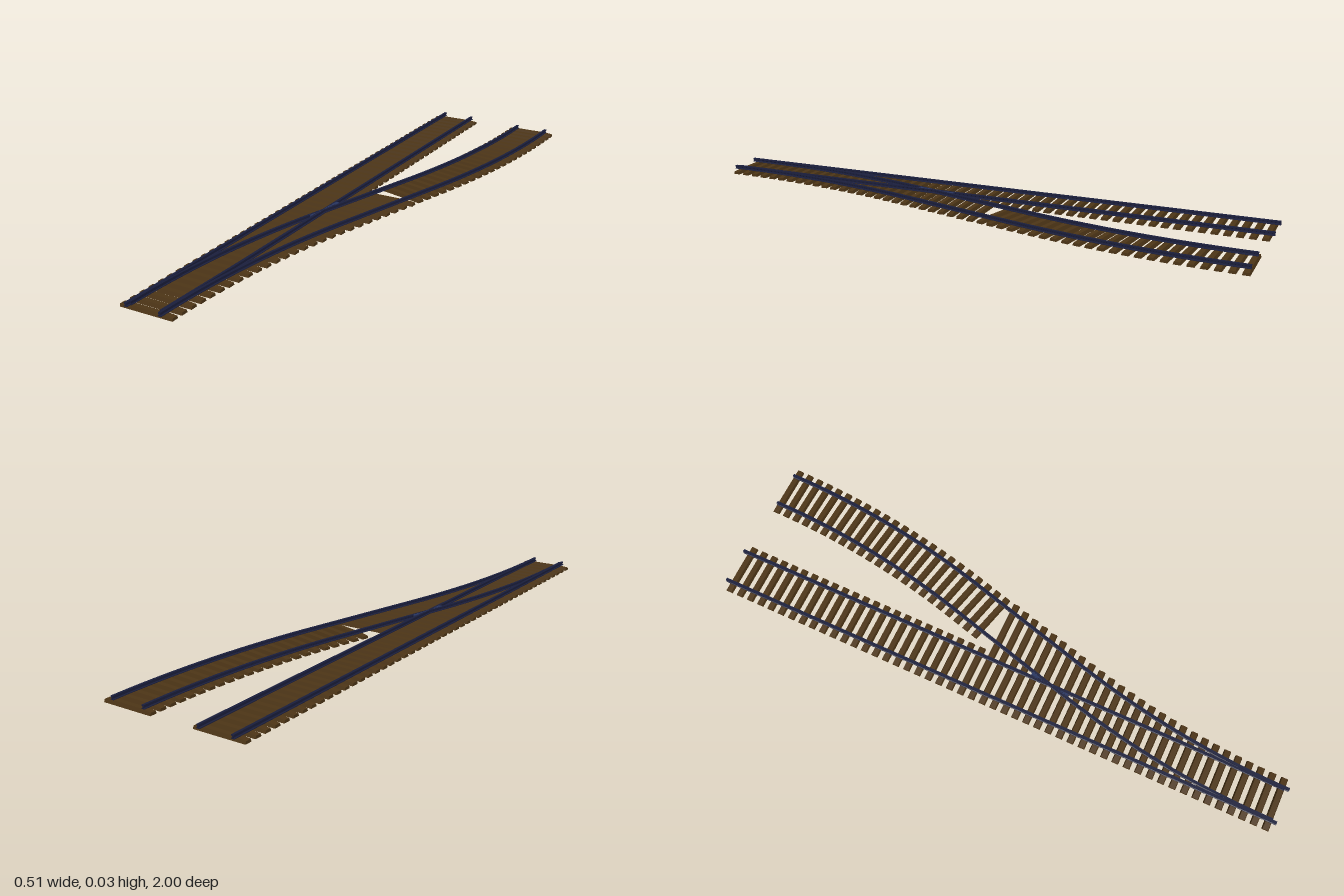
import * as THREE from 'three';

const WOOD = new THREE.MeshStandardMaterial({ color: 0x4d3516, flatShading: true });
const STEEL = new THREE.MeshStandardMaterial({ color: 0x1a1e3c, flatShading: true });
const CROSSING = new THREE.MeshStandardMaterial({ color: 0x26345f, flatShading: true });

const LEFT = -0.257, STRAIGHT = -0.1665, GAUGE = 0.118, HALF_TIE = 0.089;
const TIE_TOP = 0.0125, RAIL_TOP = 0.025;

// Diverging centre line: arc, straight, reverse arc
const SLOPE = 0.27, ARC = 0.78, MID = 0.44, SHIFT = 0.3295;
const slopeAt = (z) => {
  const t = 1 - z;
  if (t < ARC) return SLOPE * Math.max(t, 0) / ARC;
  if (t < ARC + MID) return SLOPE;
  return SLOPE * Math.max(2 - t, 0) / ARC;
};
const centreAt = (z) => {
  const t = 1 - z, k = SLOPE / (2 * ARC);
  if (t < ARC) return STRAIGHT + k * t * t;
  if (t < ARC + MID) return STRAIGHT + SLOPE * (ARC / 2 + t - ARC);
  return STRAIGHT + SHIFT - k * (2 - t) ** 2;
};
const divergingX = (z, side) =>
  centreAt(z) + side * GAUGE / 2 * Math.hypot(1, slopeAt(z));

function polygon(points) {
  return new THREE.Shape(points.map(([x, y]) => new THREE.Vector2(x, y)));
}

// Sleeper with sloping ends and battered sides
function sleeper(length, name) {
  const h = length / 2, c = 0.034, e = 0.009;
  const geo = new THREE.ExtrudeGeometry(polygon([
    [-h, 0], [h, 0], [h, e], [h - c, TIE_TOP], [c - h, TIE_TOP], [-h, e],
  ]), { depth: 0.024, bevelEnabled: false });
  geo.translate(0, 0, -0.012);
  const p = geo.attributes.position;
  for (let i = 0; i < p.count; i++) p.setZ(i, p.getZ(i) * (1 - 0.3 * p.getY(i) / TIE_TOP));
  geo.computeVertexNormals();
  const mesh = new THREE.Mesh(geo, WOOD);
  mesh.name = name;
  return mesh;
}

// Rail section swept along z, with x position and width given by functions of z
function rail(name, zStart, zEnd, xAt, widthAt = () => 1, material = STEEL) {
  const half = [
    [0.006, TIE_TOP], [0.006, 0.0142], [0.002, 0.0158],
    [0.002, 0.0195], [0.0045, 0.0208], [0.0045, RAIL_TOP],
  ];
  const mirrored = half.map(([x, y]) => [-x, y]).reverse();
  const geo = new THREE.ExtrudeGeometry(polygon([...half, ...mirrored]),
    { depth: zEnd - zStart, steps: 50, bevelEnabled: false });
  geo.translate(0, 0, zStart);
  const p = geo.attributes.position;
  for (let i = 0; i < p.count; i++) {
    const z = p.getZ(i);
    p.setX(i, p.getX(i) * widthAt(z) + xAt(z));
  }
  geo.computeVertexNormals();
  const mesh = new THREE.Mesh(geo, material);
  mesh.name = name;
  return mesh;
}

export function createModel() {
  const model = new THREE.Group();
  model.name = 'railwayTurnout';

  // Sleepers of the straight track, lengthened under the turnout
  const mainSleepers = new THREE.Group();
  mainSleepers.name = 'mainSleepers';
  for (let i = 0; i < 50; i++) {
    const z = 0.976 - i * 1.952 / 49;
    const right = z > -0.08 ? divergingX(z, 1) + 0.033 : LEFT + 2 * HALF_TIE;
    const tie = sleeper(right - LEFT, 'mainSleeper');
    tie.position.set((right + LEFT) / 2, 0, z);
    mainSleepers.add(tie);
  }
  model.add(mainSleepers);

  // Sleepers square to the diverging track
  const branchSleepers = new THREE.Group();
  branchSleepers.name = 'branchSleepers';
  for (let i = 0; i < 23; i++) {
    const z = -0.122 - i * 0.854 / 22;
    const tie = sleeper(2 * HALF_TIE, 'branchSleeper');
    tie.position.set(centreAt(z), 0, z);
    tie.rotation.y = -Math.atan(slopeAt(z));
    branchSleepers.add(tie);
  }
  model.add(branchSleepers);

  // Outer stock rails, and inner rails thinned to blades at the switch
  const blade = (z) => THREE.MathUtils.clamp((1 - z) / 0.35, 0, 1);
  const thin = (z) => 0.4 + 0.6 * blade(z);
  const gap = (z) => 0.007 * (1 - blade(z));
  const leftX = STRAIGHT - GAUGE / 2, rightX = STRAIGHT + GAUGE / 2;
  model.add(
    rail('straightStockRail', -1, 1, () => leftX),
    rail('straightInnerRail', -1, 0.985, (z) => rightX - gap(z), thin),
    rail('branchStockRail', -0.985, 1, (z) => divergingX(z, 1)),
    rail('branchInnerRail', -0.985, 0.985, (z) => divergingX(z, -1) + gap(z), thin),
  );

  // Crossing nose filling the angle between the two inner rails
  const noseX = (z) => (rightX + divergingX(z, -1)) / 2;
  const noseWidth = (z) => 0.5 + Math.abs(divergingX(z, -1) - rightX) / 0.016;
  model.add(rail('crossingNose', 0.09, 0.23, noseX, noseWidth, CROSSING));

  return model;
}
